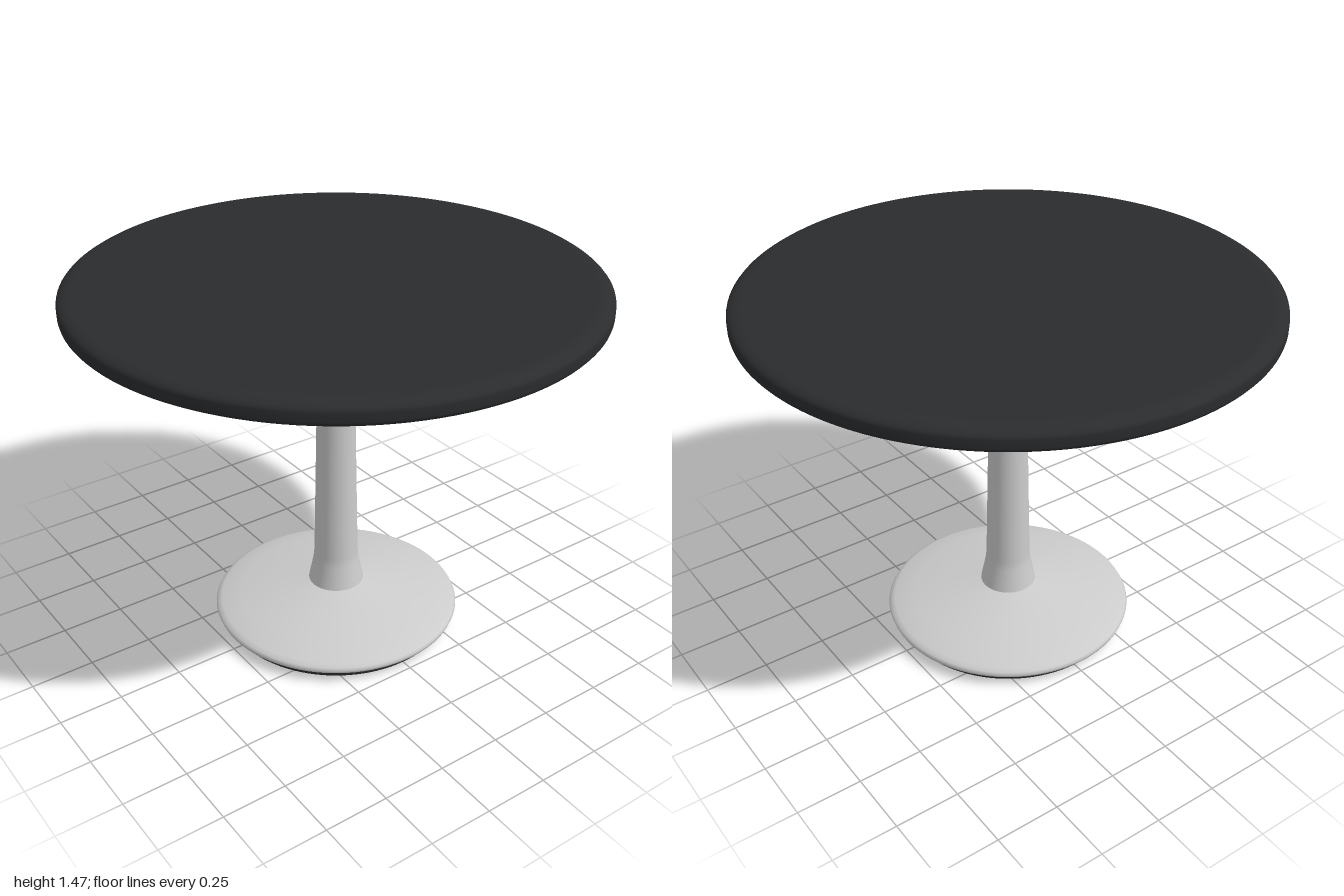
import * as THREE from 'three';
import { mergeGeometries } from 'three/addons/utils/BufferGeometryUtils.js';

const metal = new THREE.MeshStandardMaterial({ color: 0xcccccc });
const black = new THREE.MeshStandardMaterial({ color: 0x2a2c2e });

// Each run is a smooth stretch of [radius, height], bottom to top; edges between runs stay sharp.
function turned(name, material, runs, segments = 96) {
  const parts = runs.map(run =>
    new THREE.LatheGeometry(run.map(([r, y]) => new THREE.Vector2(r, y)), segments));
  const mesh = new THREE.Mesh(mergeGeometries(parts), material);
  mesh.name = name;
  return mesh;
}

// Quarter-round rim points about a centre, from angle a to angle b
function rim(cx, cy, rx, ry, a, b, n = 6) {
  return Array.from({ length: n + 1 }, (_, i) => {
    const t = a + (b - a) * i / n;
    return [cx + rx * Math.cos(t), cy + ry * Math.sin(t)];
  });
}

export function createModel() {
  const table = new THREE.Group();
  table.name = 'pedestalTable';
  const q = Math.PI / 2;

  // Round top with softened edges
  table.add(turned('tableTop', black, [
    [[0, 1.38], [0.94, 1.38]],
    [...rim(0.94, 1.41, 0.06, 0.03, -q, 0), ...rim(0.94, 1.44, 0.06, 0.03, 0, q)],
    [[0.94, 1.47], [0, 1.47]],
  ], 128));

  // Mounting plate with a thin spacer above
  table.add(turned('mountingPlate', metal, [
    [[0, 1.353], [0.325, 1.353]],
    [[0.325, 1.353], [0.325, 1.375]],
    [[0.325, 1.375], [0.285, 1.375]],
    [[0.285, 1.375], [0.285, 1.382]],
  ]));

  // Tapered column, flared at both ends
  table.add(turned('column', metal, [
    [[0.112, 0.15], [0.106, 0.18], [0.092, 0.25], [0.088, 0.29], [0.079, 0.72],
      [0.07, 1.16], [0.072, 1.18], [0.09, 1.265], [0.098, 1.283], [0.17, 1.345], [0.18, 1.354]],
  ]));

  // Shallow domed foot
  table.add(turned('foot', metal, [
    [[0, 0.02], [0.455, 0.02]],
    [[0.455, 0.02], [0.477, 0.03], [0.492, 0.042], [0.496, 0.053], [0.49, 0.064],
      [0.472, 0.074], [0.39, 0.1], [0.25, 0.128], [0.112, 0.154]],
    [[0.112, 0.154], [0, 0.154]],
  ]));

  // Dark pad under the foot
  table.add(turned('footPad', black, [
    [[0, 0], [0.455, 0]],
    [[0.455, 0], [0.46, 0.005], [0.46, 0.022]],
    [[0.46, 0.022], [0, 0.022]],
  ]));

  // Small screws in the mounting plate
  for (let i = 0; i < 4; i++) {
    const screw = new THREE.Mesh(new THREE.CylinderGeometry(0.009, 0.006, 0.006, 16), metal);
    screw.name = 'screw';
    screw.position.set(0.235 * Math.cos(i * q), 1.351, 0.235 * Math.sin(i * q));
    table.add(screw);
  }
  return table;
}
